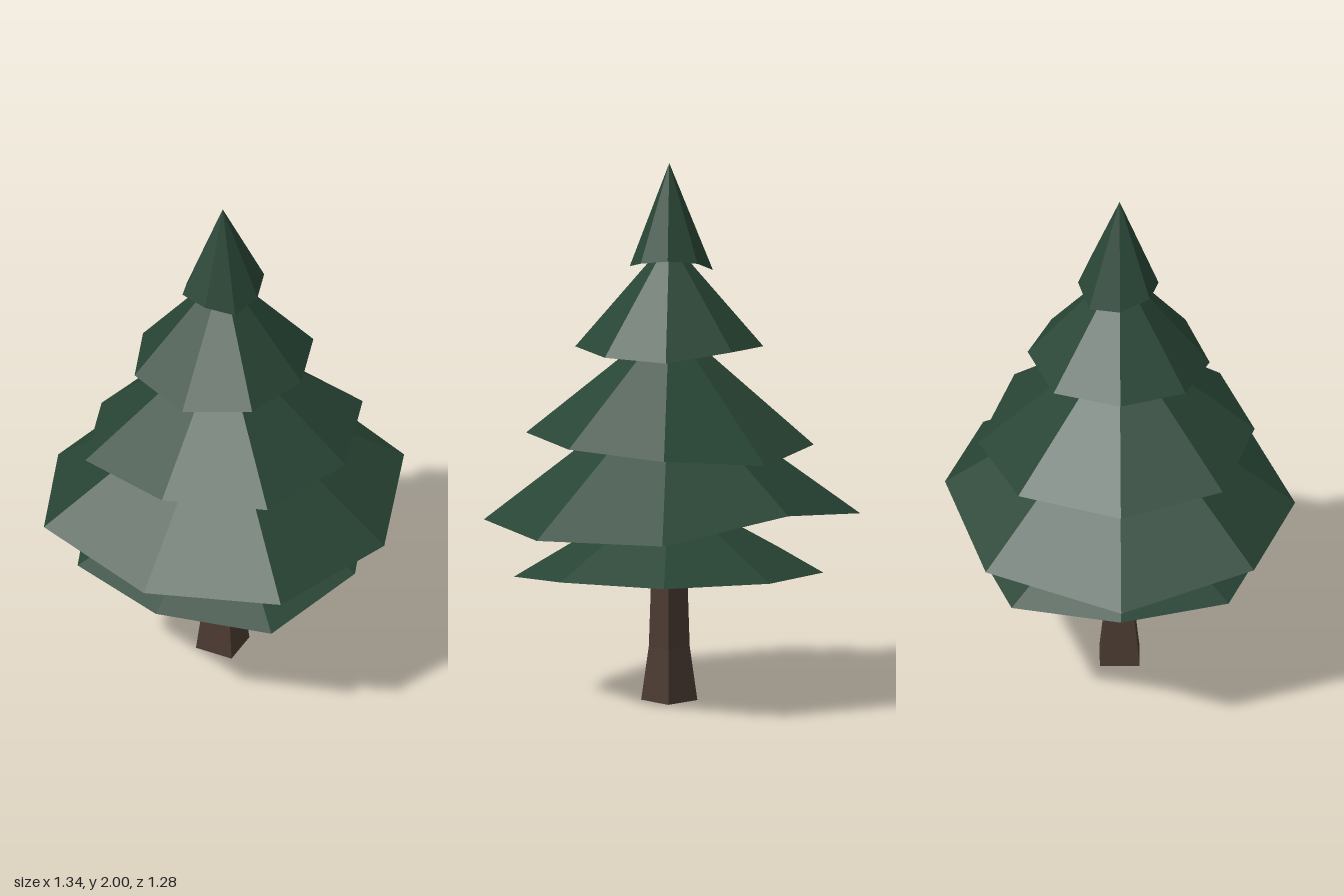
import * as THREE from 'three';

const CX = 0.007, CZ = -0.003; // trunk axis

// Open eight-sided cone; rim points run from +x round through +z.
function branchGeometry(apexY, radii, heights) {
  const rim = radii.map((r, i) => {
    const a = (i * Math.PI) / 4;
    return [r * Math.cos(a), heights[i], r * Math.sin(a)];
  });
  const pos = [];
  rim.forEach((p, i) => pos.push(0, apexY, 0, ...rim[(i + 1) % rim.length], ...p));
  const geo = new THREE.BufferGeometry();
  geo.setAttribute('position', new THREE.Float32BufferAttribute(pos, 3));
  geo.computeVertexNormals();
  return geo;
}

// Uneven rims, from the lowest tier to the top
const TIERS = [
  { apex: 0.79,
    r: [0.543, 0.57, 0.545, 0.56, 0.54, 0.565, 0.54, 0.56],
    y: [0.505, 0.455, 0.505, 0.49, 0.505, 0.478, 0.505, 0.515] },
  { apex: 1.2,
    r: [0.663, 0.68, 0.643, 0.69, 0.675, 0.7, 0.64, 0.7],
    y: [0.675, 0.668, 0.668, 0.698, 0.635, 0.7, 0.77, 0.7] },
  { apex: 1.42,
    r: [0.503, 0.525, 0.495, 0.53, 0.497, 0.53, 0.517, 0.54],
    y: [0.995, 0.993, 0.995, 0.968, 0.935, 0.955, 0.94, 0.985] },
  { apex: 1.72,
    r: [0.323, 0.345, 0.33, 0.34, 0.327, 0.345, 0.337, 0.35],
    y: [1.315, 1.315, 1.29, 1.315, 1.315, 1.32, 1.34, 1.317] },
  { apex: 2,
    r: [0.143, 0.145, 0.143, 0.155, 0.147, 0.16, 0.152, 0.16],
    y: [1.643, 1.615, 1.643, 1.643, 1.61, 1.603, 1.645, 1.662] },
];

export function createModel() {
  const model = new THREE.Group();
  model.name = 'pineTree';

  const needles = new THREE.MeshStandardMaterial({ color: 0x284535, side: THREE.DoubleSide, flatShading: true });
  needles.name = 'needleGreen';
  const bark = new THREE.MeshStandardMaterial({ color: 0x4a3a31, flatShading: true });
  bark.name = 'barkBrown';

  // Square tapering trunk with a flared foot: [half width, height]
  const profile = [[0, 0], [0.073, 0], [0.053, 0.2], [0.046, 0.5], [0.034, 0.85], [0.024, 1.2], [0.012, 1.76], [0, 1.76]]
    .map(([w, y]) => new THREE.Vector2(w * Math.SQRT2, y));
  const trunk = new THREE.Mesh(new THREE.LatheGeometry(profile, 4, Math.PI / 4), bark);
  trunk.name = 'trunk';
  trunk.position.set(CX, 0, CZ);
  model.add(trunk);

  // Branch tiers
  TIERS.forEach((t, i) => {
    const tier = new THREE.Mesh(branchGeometry(t.apex, t.r, t.y), needles);
    tier.name = `branchTier${i + 1}`;
    tier.position.set(CX, 0, CZ);
    model.add(tier);
  });

  return model;
}
